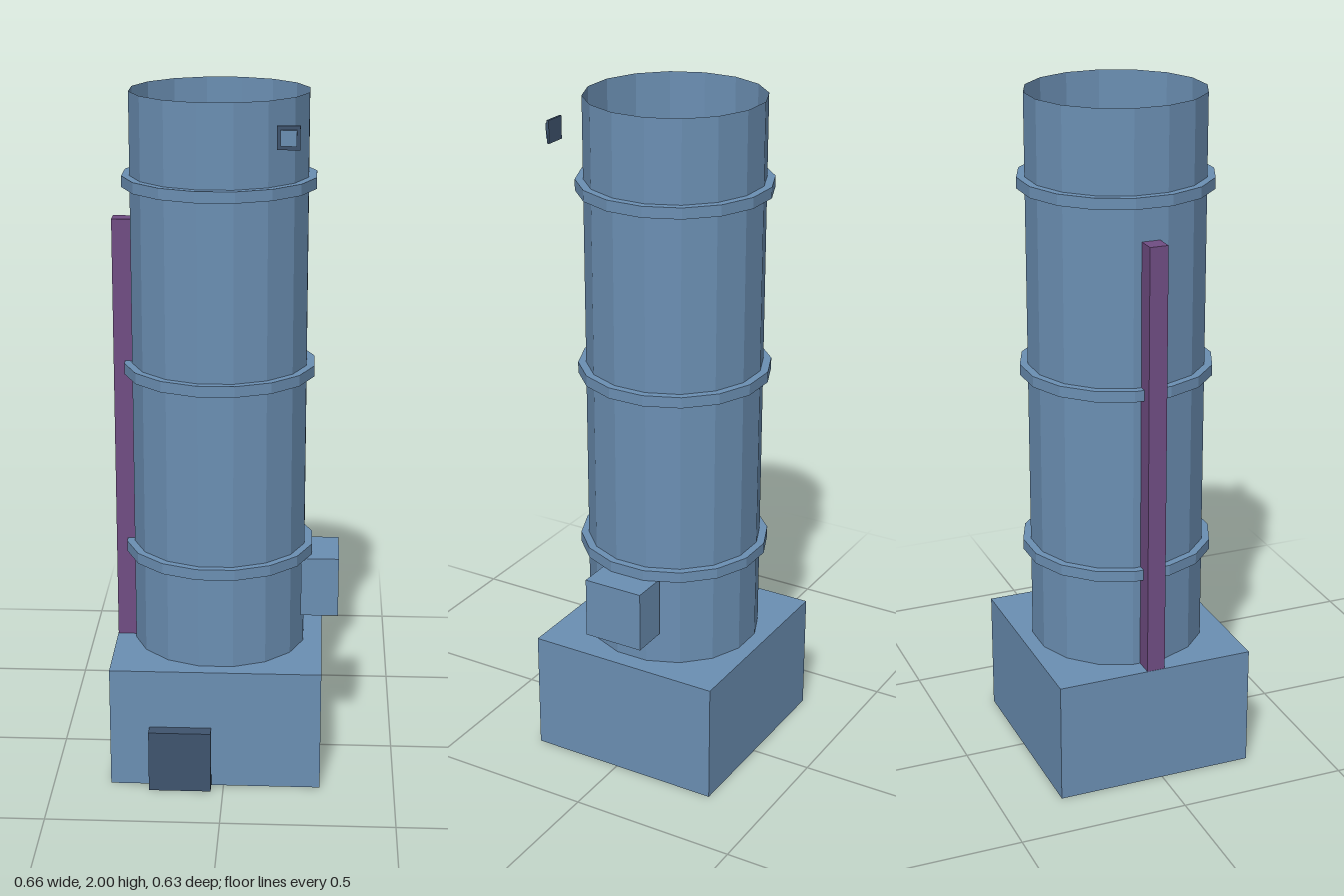
import * as THREE from 'three';

const SIDES = 16;
const HALF_STEP = Math.PI / SIDES; // flat faces point along x and z
const AXIS_X = -0.024, AXIS_Z = -0.022;
const TUBE_R = 0.256, HOOP_R = 0.279;

function material(name, color, side = THREE.FrontSide) {
  const m = new THREE.MeshStandardMaterial({ color, side, flatShading: true });
  m.name = name;
  return m;
}

// Box given by its extents on each axis
function box(name, mat, [x0, x1], [y0, y1], [z0, z1]) {
  const mesh = new THREE.Mesh(new THREE.BoxGeometry(x1 - x0, y1 - y0, z1 - z0), mat);
  mesh.position.set((x0 + x1) / 2, (y0 + y1) / 2, (z0 + z1) / 2);
  mesh.name = name;
  return mesh;
}

export function createModel() {
  const group = new THREE.Group();
  group.name = 'chimneyTower';

  const steel = material('steelBlue', 0x6b8fb3, THREE.DoubleSide);
  const navy = material('darkNavy', 0x3f546e);
  const purple = material('pipePurple', 0x704d83);

  // Plinth and door
  group.add(box('base', steel, [-0.332, 0.283], [0, 0.362], [-0.318, 0.275]));
  group.add(box('door', navy, [-0.217, -0.036], [0, 0.185], [0.27, 0.315]));

  // Open faceted shaft
  const shaft = new THREE.Mesh(
    new THREE.CylinderGeometry(TUBE_R, TUBE_R, 1.64, SIDES, 1, true, HALF_STEP), steel);
  shaft.position.set(AXIS_X, 1.18, AXIS_Z);
  shaft.name = 'shaft';
  group.add(shaft);

  // Hoops around the shaft
  const profile = [[TUBE_R, 0], [HOOP_R, 0], [HOOP_R, 0.032], [TUBE_R, 0.032]]
    .map(([r, y]) => new THREE.Vector2(r, y));
  const hoopGeometry = new THREE.LatheGeometry(profile, SIDES, HALF_STEP);
  for (const y of [0.641, 1.188, 1.733]) {
    const hoop = new THREE.Mesh(hoopGeometry, steel);
    hoop.position.set(AXIS_X, y, AXIS_Z);
    hoop.name = 'hoop';
    group.add(hoop);
  }

  // Side pipe, running through the shaft wall, and side vent box
  group.add(box('sidePipe', purple, [-0.331, -0.217], [0.19, 1.636], [-0.049, 0.005]));
  group.add(box('ventBox', steel, [0.219, 0.33], [0.46, 0.64], [-0.113, 0.069]));

  // Small lamp near the top
  group.add(box('lampFrame', navy, [0.142, 0.205], [1.878, 1.943], [0.242, 0.249]));
  group.add(box('lampPane', steel, [0.152, 0.196], [1.889, 1.932], [0.249, 0.258]));

  return group;
}
